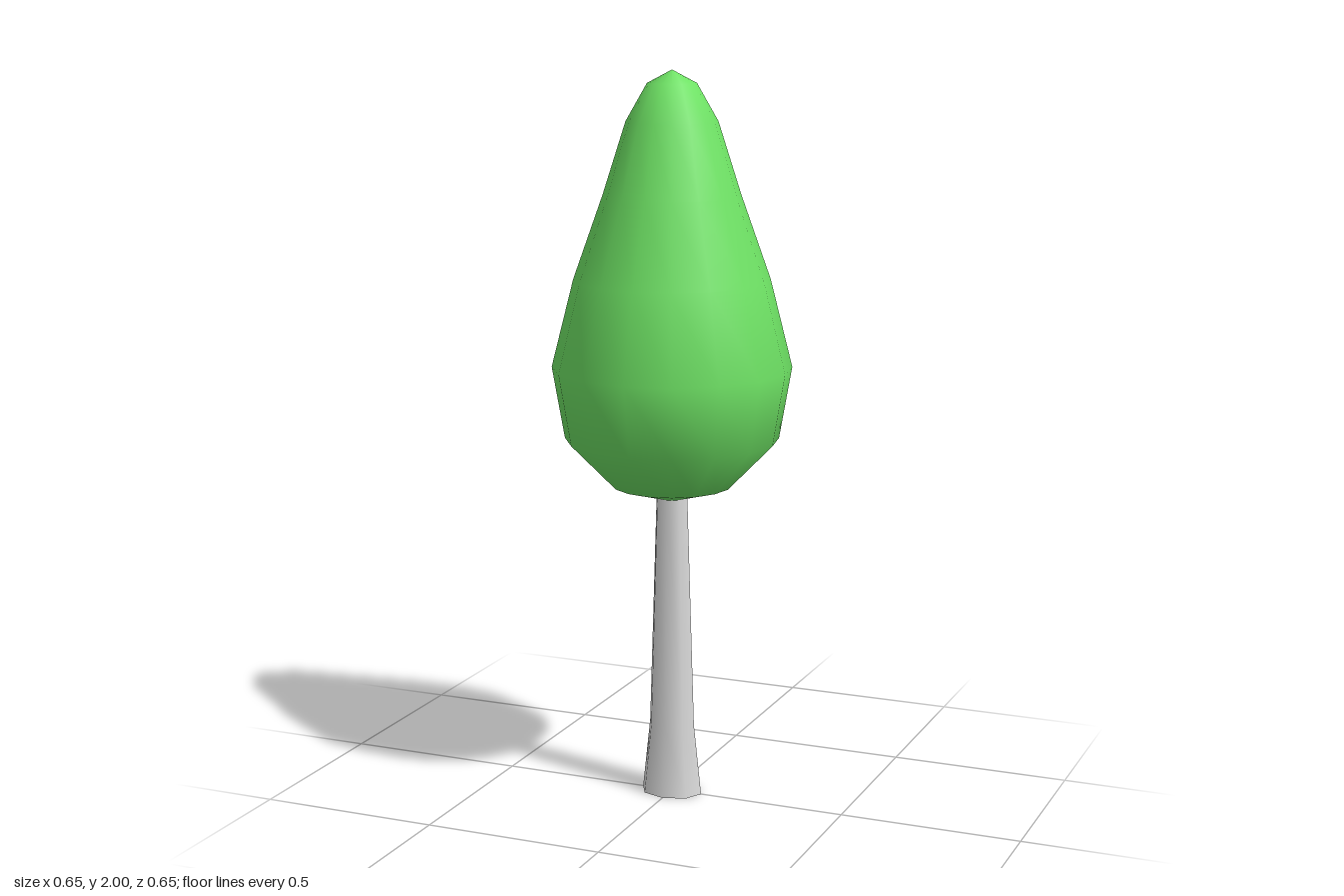
import * as THREE from 'three';

const leafGreen = new THREE.MeshStandardMaterial({ color: 0x6ee264 });
leafGreen.name = 'leafGreen';
const barkGrey = new THREE.MeshStandardMaterial({ color: 0xdcdcdc });
barkGrey.name = 'barkGrey';

// Smooth lathe from [radius, height] pairs, listed bottom to top
function turned(name, profile, sides, material) {
  const points = profile.map(([r, y]) => new THREE.Vector2(r, y));
  const mesh = new THREE.Mesh(new THREE.LatheGeometry(points, sides), material);
  mesh.name = name;
  return mesh;
}

export function createModel() {
  const tree = new THREE.Group();
  tree.name = 'tree';

  // Teardrop crown
  tree.add(turned('crown', [
    [0, 0.833], [0.164, 0.88], [0.291, 1.01], [0.325, 1.206], [0.265, 1.444],
    [0.185, 1.67], [0.123, 1.865], [0.066, 1.965], [0, 2],
  ], 16, leafGreen));

  // Slightly flattened trunk with a flared foot and a closed base
  const trunk = new THREE.Group();
  trunk.name = 'trunk';
  trunk.add(turned('trunkShaft', [[0.088, 0], [0.066, 0.2], [0.045, 0.86]], 8, barkGrey));
  const base = new THREE.Mesh(new THREE.CircleGeometry(0.088, 8), barkGrey);
  base.name = 'trunkBase';
  base.rotation.x = Math.PI / 2;
  trunk.add(base);
  trunk.scale.z = 0.79;
  tree.add(trunk);

  return tree;
}
